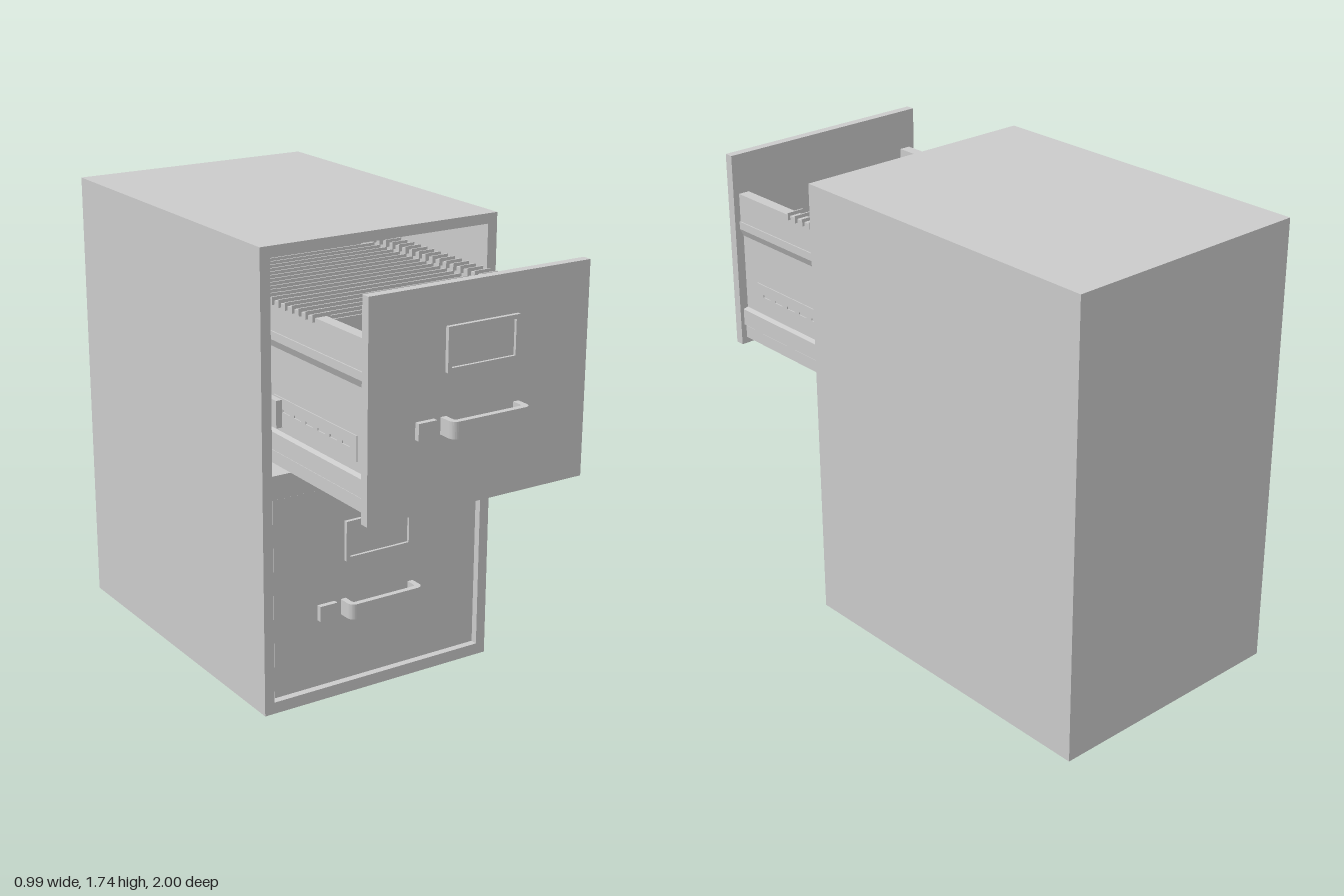
import * as THREE from 'three';

const grey = new THREE.MeshStandardMaterial({ color: 0xcccccc, side: THREE.DoubleSide });

function add(parent, name, geometry) {
  const mesh = new THREE.Mesh(geometry, grey);
  mesh.name = name;
  parent.add(mesh);
  return mesh;
}

// Box given by its extents on each axis
function box(parent, name, x0, x1, y0, y1, z0, z1) {
  const mesh = add(parent, name, new THREE.BoxGeometry(x1 - x0, y1 - y0, z1 - z0));
  mesh.position.set((x0 + x1) / 2, (y0 + y1) / 2, (z0 + z1) / 2);
  return mesh;
}

const points = (list) => list.map(([x, y]) => new THREE.Vector2(x, y));
const rect = (x0, x1, y0, y1) => points([[x0, y0], [x1, y0], [x1, y1], [x0, y1]]);

// Outline with holes, extruded from z0 to z1
function slab(parent, name, outline, holes, z0, z1) {
  const shape = new THREE.Shape(outline);
  for (const h of holes) shape.holes.push(new THREE.Path(h));
  const geometry = new THREE.ExtrudeGeometry(shape, { depth: z1 - z0, bevelEnabled: false });
  geometry.translate(0, 0, z0);
  return add(parent, name, geometry);
}

// Bow handle: a rounded U seen from above, extruded upwards
function addHandle(drawer) {
  const w = 0.16, t = 0.022, z0 = 0.93, z1 = 1, r = 0.03, ri = 0.012;
  const s = new THREE.Shape();
  s.moveTo(-w, -z0);
  s.lineTo(-w, -z1 + r);
  s.quadraticCurveTo(-w, -z1, -w + r, -z1);
  s.lineTo(w - r, -z1);
  s.quadraticCurveTo(w, -z1, w, -z1 + r);
  s.lineTo(w, -z0);
  s.lineTo(w - t, -z0);
  s.lineTo(w - t, -z1 + t + ri);
  s.quadraticCurveTo(w - t, -z1 + t, w - t - ri, -z1 + t);
  s.lineTo(-w + t + ri, -z1 + t);
  s.quadraticCurveTo(-w + t, -z1 + t, -w + t, -z1 + t + ri);
  s.lineTo(-w + t, -z0);
  s.closePath();
  const geometry = new THREE.ExtrudeGeometry(s, { depth: 0.06, bevelEnabled: false, curveSegments: 8 });
  geometry.rotateX(-Math.PI / 2);
  add(drawer, 'handle', geometry).position.y = 1.19;
}

// One drawer, modelled in its open position
function createDrawer(name) {
  const drawer = new THREE.Group();
  drawer.name = name;
  const back = -0.36, front = 0.895;

  // Front panel and its fittings
  box(drawer, 'drawerFront', -0.445, 0.445, 0.925, 1.695, front, 0.93);
  slab(drawer, 'labelFrame', rect(-0.145, 0.145, 1.4, 1.555), [rect(-0.129, 0.129, 1.415, 1.54)], 0.93, 0.945);
  box(drawer, 'labelCard', -0.129, 0.129, 1.415, 1.54, 0.93, 0.934);
  box(drawer, 'lock', -0.26, -0.187, 1.19, 1.25, 0.93, 0.95);
  addHandle(drawer);

  // Tray
  box(drawer, 'drawerFloor', -0.41, 0.41, 0.995, 1.01, back, front);
  box(drawer, 'drawerBack', -0.4, 0.4, 1.0, 1.5, back, back + 0.015);

  // Side walls: bottom flange, slide rail, plain wall, thicker top rail
  const profile = [
    [0.41, 0.95], [0.422, 0.95], [0.422, 0.998], [0.412, 0.998], [0.412, 1.005],
    [0.43, 1.005], [0.43, 1.07], [0.41, 1.075], [0.41, 1.37], [0.425, 1.4],
    [0.425, 1.43], [0.42, 1.43], [0.42, 1.54], [0.375, 1.54], [0.375, 1.43], [0.398, 1.4], [0.398, 1.0], [0.41, 1.0],
  ];
  for (const s of [-1, 1]) {
    slab(drawer, 'sideWall', points(profile.map(([x, y]) => [s * x, y])), [], back, front);
    // Slotted slide plate
    const slots = [];
    for (let i = 0; i < 6; i++) {
      const a = -0.78 + i * 0.075;
      slots.push(rect(a, a + 0.045, 1.15, 1.16));
    }
    const plate = slab(drawer, 'slidePlate', rect(-0.82, -0.3, 1.11, 1.2), slots, 0, 0.004);
    plate.rotation.y = Math.PI / 2;
    plate.position.x = s > 0 ? 0.41 : -0.414;
  }

  // Hanging folders with hooks resting on the top rails
  for (let i = 0; i < 20; i++) {
    const z = 0.578 - i * 0.043;
    box(drawer, 'folder', -0.365, 0.365, 1.04, 1.525, z - 0.003, z + 0.003);
    for (const s of [-1, 1]) {
      const x = s * 0.395;
      box(drawer, 'folderHook', x - 0.035, x + 0.035, 1.525, 1.553, z - 0.003, z + 0.003);
    }
  }
  return drawer;
}

export function createModel() {
  const model = new THREE.Group();
  model.name = 'filingCabinet';

  // Cabinet shell with two drawer openings and a closed back
  slab(model, 'cabinetShell', rect(-0.495, 0.495, 0, 1.74),
    [rect(-0.455, 0.455, 0.045, 0.83), rect(-0.455, 0.455, 0.92, 1.702)], -0.97, 0.355);
  box(model, 'cabinetBack', -0.495, 0.495, 0, 1.74, -1, -0.97);

  // Fixed slide brackets beside each drawer
  for (const y of [1.1, 0.23]) {
    for (const s of [-1, 1]) {
      const z1 = y > 1 ? 0.372 : 0.29;
      box(model, 'slideBracket', s * 0.435 - 0.012, s * 0.435 + 0.012, y, y + 0.1, -0.9, z1);
    }
  }

  // Upper drawer pulled out, lower drawer shut
  model.add(createDrawer('upperDrawer'));
  const lower = createDrawer('lowerDrawer');
  lower.position.set(0, -0.872, -0.59);
  model.add(lower);
  return model;
}
